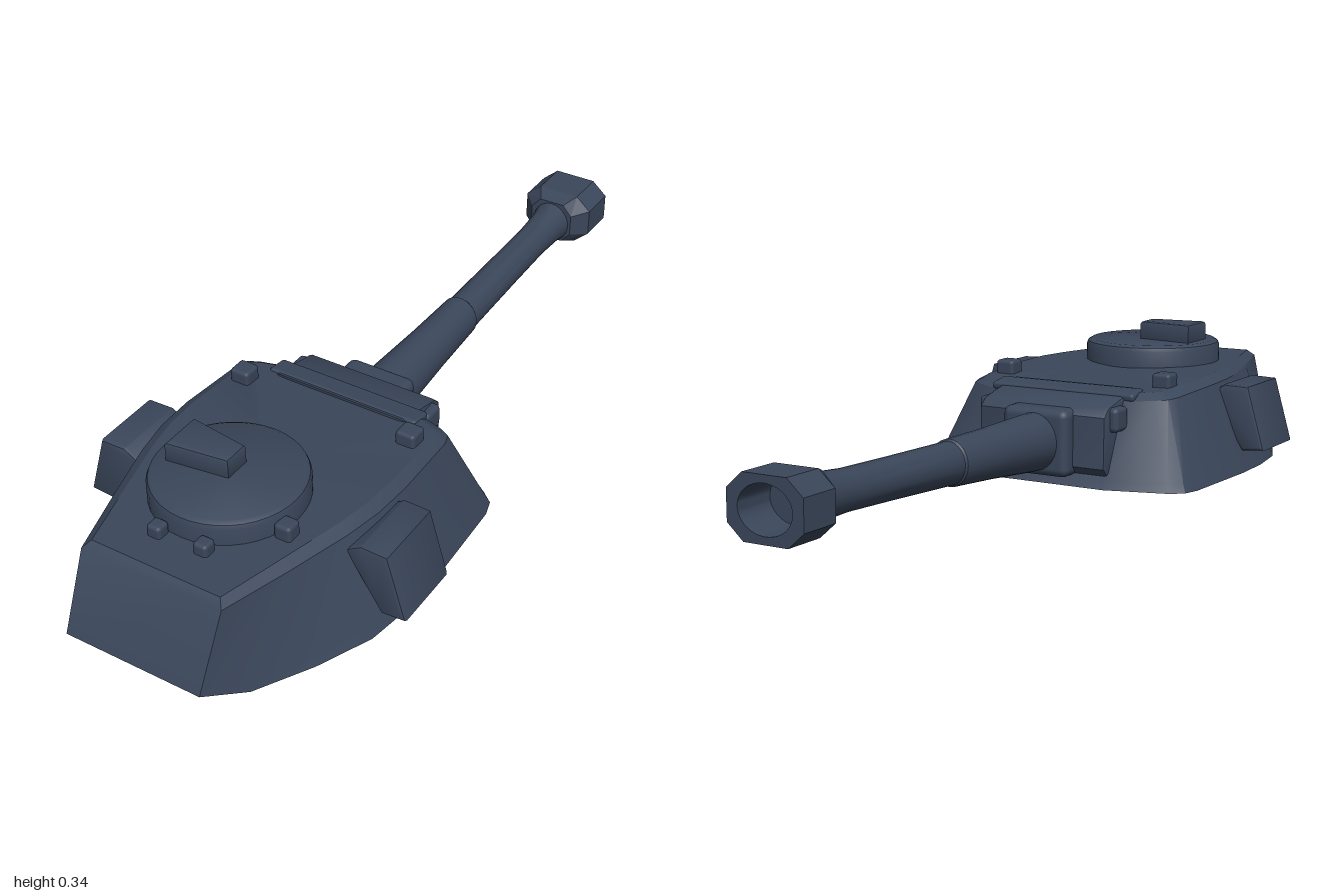
import * as THREE from 'three';
import { toCreasedNormals } from 'three/addons/utils/BufferGeometryUtils.js';
import { RoundedBoxGeometry } from 'three/addons/geometries/RoundedBoxGeometry.js';

const steel = new THREE.MeshStandardMaterial({ color: 0x3a465a });
steel.name = 'slateSteel';

function add(group, name, geometry, x = 0, y = 0, z = 0) {
  const mesh = new THREE.Mesh(geometry, steel);
  mesh.name = name;
  mesh.position.set(x, y, z);
  group.add(mesh);
  return mesh;
}

const polygon = (pts) => new THREE.Shape(pts.map(([x, y]) => new THREE.Vector2(x, y)));

// Extrudes a shape with a small bevel, centred on its depth
function slab(shape, depth, bevel = 0.006) {
  const g = new THREE.ExtrudeGeometry(shape, {
    depth: depth - 2 * bevel, bevelEnabled: bevel > 0, bevelSize: bevel, bevelThickness: bevel,
    bevelOffset: -bevel, bevelSegments: 2, curveSegments: 24,
  });
  g.translate(0, 0, bevel - depth / 2);
  return toCreasedNormals(g, 0.6);
}

// Armoured body lofted through four closed rings
function hullGeometry() {
  // foot x, foot z, roof x, roof y, roof z
  const half = [
    [0.225, 0.90, 0.172, 0.234, 0.91],
    [0.30, 0.77, 0.218, 0.235, 0.74],
    [0.357, 0.64, 0.258, 0.236, 0.59],
    [0.375, 0.52, 0.275, 0.236, 0.50],
    [0.378, 0.40, 0.28, 0.234, 0.40],
    [0.367, 0.16, 0.272, 0.226, 0.22],
    [0.355, 0.12, 0.262, 0.224, 0.19],
    [0.325, 0.095, 0.235, 0.222, 0.175],
    [0.17, 0.05, 0.17, 0.217, 0.15],
  ];
  const sections = half.map(([fx, fz, rx, ry, rz], i) => {
    const foot = new THREE.Vector3(fx, 0, fz);
    const roof = new THREE.Vector3(rx, ry, rz);
    // the rear plate overhangs its foot
    const sill = i === 0 ? new THREE.Vector3(0.172, 0.045, 1) : foot.clone().lerp(roof, 0.1);
    const shoulder = sill.clone().lerp(roof, 0.92);
    const inset = roof.clone();
    inset.x *= 0.95;
    inset.z += (0.55 - rz) * 0.03;
    shoulder.x += 0.006;
    return [foot, sill, shoulder, inset];
  });
  const mirrored = sections.map((s) => s.map((p) => new THREE.Vector3(-p.x, p.y, p.z))).reverse();
  const loop = [...sections, ...mirrored];
  const out = [];
  const tri = (...p) => p.forEach((v) => out.push(v.x, v.y, v.z));
  const top = new THREE.Vector3(0, 0.236, 0.5);
  const base = new THREE.Vector3(0, 0, 0.5);
  loop.forEach((a, i) => {
    const b = loop[(i + 1) % loop.length];
    for (let k = 0; k < 3; k++) {
      tri(a[k], b[k], b[k + 1]);
      tri(a[k], b[k + 1], a[k + 1]);
    }
    tri(top, a[3], b[3]);
    tri(base, b[0], a[0]);
  });
  const g = new THREE.BufferGeometry();
  g.setAttribute('position', new THREE.Float32BufferAttribute(out, 3));
  return toCreasedNormals(g, 0.5);
}

// Tapered tube along -z, raised slightly towards the muzzle
function barrelGeometry() {
  const profile = [
    [0.066, -0.06], [0.064, 0.02], [0.055, 0.2], [0.05, 0.355], [0.046, 0.36],
    [0.043, 0.6], [0.042, 0.75], [0.046, 0.83], [0.055, 0.88], [0.06, 0.91],
  ];
  const g = new THREE.LatheGeometry(profile.map(([r, d]) => new THREE.Vector2(r, d)), 28);
  g.rotateX(-Math.PI / 2);
  const p = g.attributes.position;
  for (let i = 0; i < p.count; i++) {
    p.setY(i, p.getY(i) * 1.1 + 0.108 - 0.037 * p.getZ(i));
  }
  return toCreasedNormals(g, 0.6);
}

// Eight-sided muzzle outline, scaled about its centre
const octagon = (s) => polygon([
  [-0.095, -0.035], [-0.055, -0.07], [0.055, -0.07], [0.095, -0.035],
  [0.095, 0.035], [0.055, 0.07], [-0.055, 0.07], [-0.095, 0.035],
].map(([x, y]) => [x * s, y * s]));

export function createModel() {
  const model = new THREE.Group();
  model.name = 'turret';
  add(model, 'hull', hullGeometry());

  // Gun mount
  const mantlet = slab(polygon([
    [0.21, 0.226], [0.14, 0.212], [0.07, 0.196], [0.048, 0.175],
    [0.045, 0.05], [0.075, 0.02], [0.21, 0.02],
  ]), 0.35, 0.008);
  mantlet.rotateY(-Math.PI / 2);
  add(model, 'mantlet', mantlet);
  add(model, 'roofLip', new RoundedBoxGeometry(0.4, 0.02, 0.06, 2, 0.008), 0, 0.214, 0.175).rotation.x = -0.15;
  add(model, 'gunCollar', new RoundedBoxGeometry(0.18, 0.165, 0.08, 3, 0.02), 0, 0.107, 0.052);
  add(model, 'gunBarrel', barrelGeometry());

  // Muzzle brake with a hollow bore
  const muzzle = new THREE.Group();
  muzzle.name = 'muzzleBrake';
  muzzle.position.set(0, 0.145, 0);
  model.add(muzzle);
  const ring = octagon(1);
  const bore = new THREE.Path();
  bore.absellipse(0, 0, 0.068, 0.053, 0, Math.PI * 2, true);
  ring.holes.push(bore);
  add(muzzle, 'muzzleRing', slab(ring, 0.1, 0), 0, 0, -0.95);
  const neck = slab(octagon(1), 0.04, 0);
  const np = neck.attributes.position;
  for (let i = 0; i < np.count; i++) {
    if (np.getZ(i) > 0) np.setXY(i, np.getX(i) * 0.62, np.getY(i) * 0.8);
  }
  neck.computeVertexNormals();
  add(muzzle, 'muzzleNeck', neck, 0, 0, -0.88);

  // Commander's cupola and its hatch block
  const cupola = new THREE.LatheGeometry([
    [0.177, 0.22], [0.177, 0.275], [0.173, 0.285], [0.163, 0.291], [0, 0.292],
  ].map(([r, y]) => new THREE.Vector2(r, y)), 40);
  add(model, 'cupola', toCreasedNormals(cupola, 0.6), -0.012, 0, 0.62);
  const hatch = slab(polygon([[-0.145, -0.665], [0.005, -0.645], [0.005, -0.58], [-0.145, -0.56]]), 0.055, 0.008);
  hatch.rotateX(-Math.PI / 2);
  add(model, 'hatchBlock', hatch, 0, 0.311, 0);

  // Small roof lugs: x, z, width, top
  [
    [-0.06, 0.81, 0.036, 0.262], [0.055, 0.805, 0.036, 0.262], [0.172, 0.675, 0.042, 0.27],
    [-0.225, 0.265, 0.05, 0.26], [0.222, 0.265, 0.05, 0.26],
  ].forEach(([x, z, w, top]) => {
    add(model, 'roofLug', new RoundedBoxGeometry(w, 0.05, w, 2, 0.009), x, top - 0.025, z);
  });

  // Side stowage boxes and mantlet pins
  for (const side of [1, -1]) {
    const pts = [[0.36, 0.05], [0.42, 0.055], [0.375, 0.213], [0.31, 0.215], [0.27, 0.19]];
    const outline = pts.map(([x, y]) => [side * x, y]);
    add(model, 'sideBox', slab(polygon(outline), 0.182, 0.008), 0, 0, 0.52);
    add(model, 'mantletPin', new RoundedBoxGeometry(0.035, 0.06, 0.06, 2, 0.012), side * 0.177, 0.165, 0.105);
  }
  return model;
}
